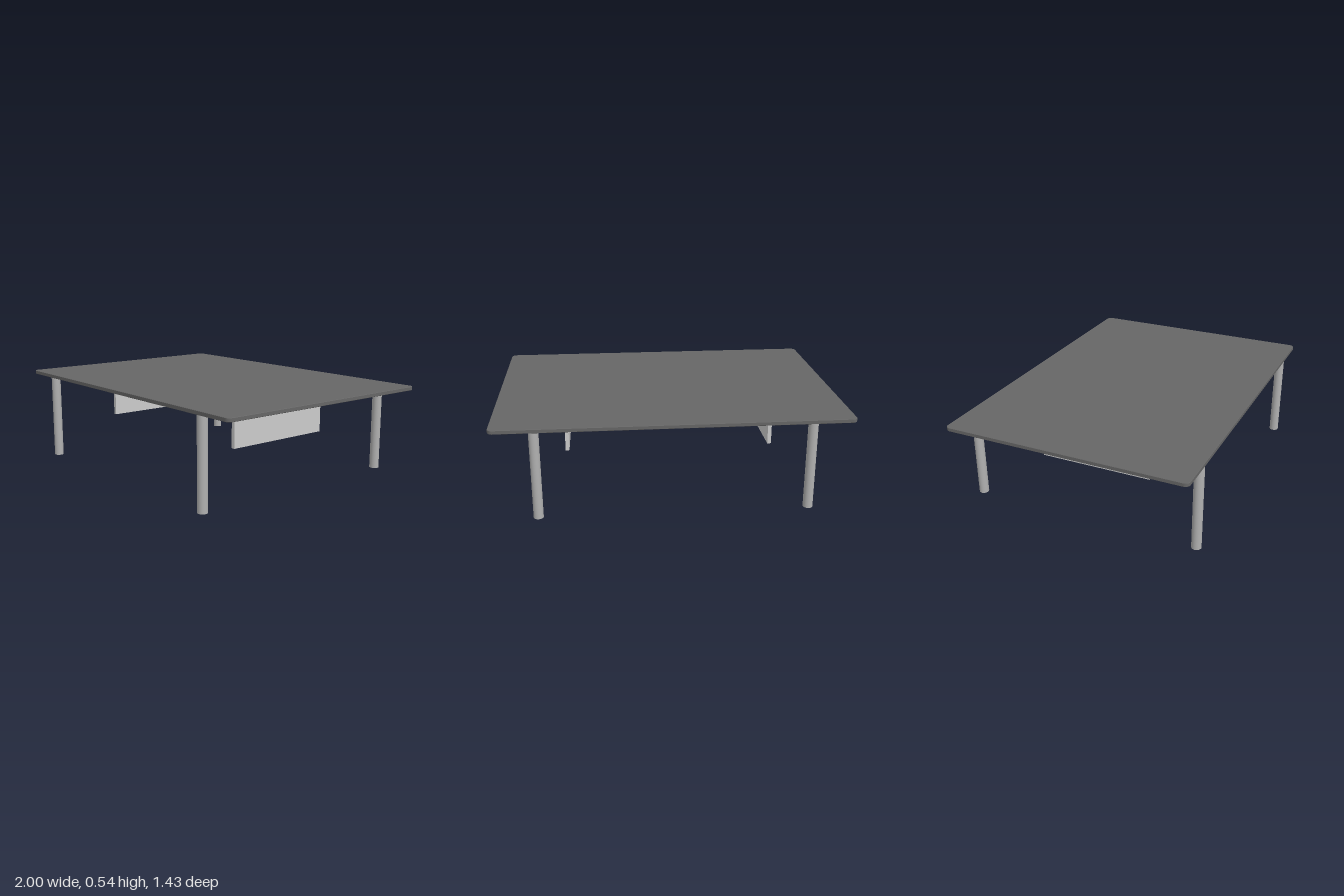
import * as THREE from 'three';

const TOP_Y = 0.535, UNDER_Y = 0.513;

// Rounded rectangle outline centred on the origin
function roundedRect(w, d, r) {
  const s = new THREE.Shape(), x = w / 2, y = d / 2;
  s.absarc(x - r, y - r, r, 0, Math.PI / 2);
  s.absarc(-x + r, y - r, r, Math.PI / 2, Math.PI);
  s.absarc(-x + r, -y + r, r, Math.PI, Math.PI * 1.5);
  s.absarc(x - r, -y + r, r, Math.PI * 1.5, Math.PI * 2);
  s.closePath();
  return s;
}

export function createModel() {
  const model = new THREE.Group();
  model.name = 'table';
  const dark = new THREE.MeshStandardMaterial({ color: 0x666666 });
  const legGrey = new THREE.MeshStandardMaterial({ color: 0xb0b0b0 });
  const grey = new THREE.MeshStandardMaterial({ color: 0xcccccc });

  const add = (name, geometry, material, x, y, z) => {
    const mesh = new THREE.Mesh(geometry, material);
    mesh.name = name;
    mesh.position.set(x, y, z);
    model.add(mesh);
  };

  // Thin top with rounded corners and a fine edge bevel
  const bevel = 0.002;
  const topGeo = new THREE.ExtrudeGeometry(roundedRect(2 - 2 * bevel, 1.428 - 2 * bevel, 0.028), {
    depth: TOP_Y - UNDER_Y - 2 * bevel, curveSegments: 8,
    bevelEnabled: true, bevelThickness: bevel, bevelSize: bevel, bevelSegments: 1,
  });
  topGeo.rotateX(-Math.PI / 2);
  add('tableTop', topGeo, dark, 0, UNDER_Y + bevel, 0);

  // Round legs near the four corners
  const legGeo = new THREE.CylinderGeometry(0.028, 0.028, UNDER_Y, 32);
  for (const [side, sx] of [['Left', 1], ['Right', -1]]) {
    for (const [end, sz] of [['front', 1], ['back', -1]]) {
      add(`${end}${side}Leg`, legGeo, legGrey, sx * 0.76, UNDER_Y / 2, sz * 0.68);
    }
  }

  // Upright panels hanging below the top
  const panelBottom = 0.25, panelHeight = UNDER_Y - panelBottom;
  const panelGeo = new THREE.BoxGeometry(0.022, panelHeight, 0.678);
  for (const [side, sx] of [['left', 1], ['right', -1]]) {
    add(`${side}Panel`, panelGeo, grey, sx * 0.6, panelBottom + panelHeight / 2, 0);
  }
  return model;
}
